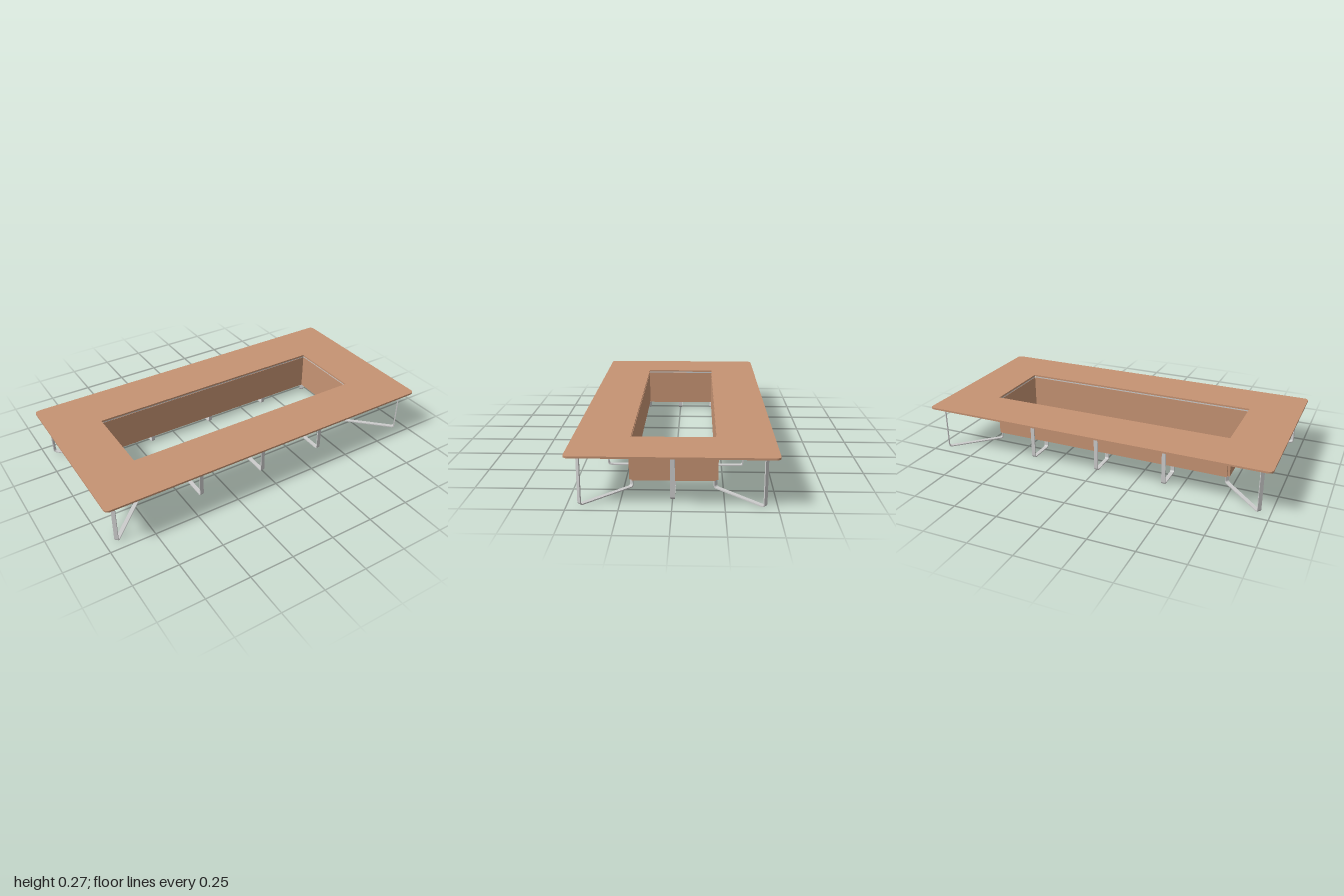
import * as THREE from 'three';

const TOP = 0.268, UNDER = 0.258;      // table top faces
const IX = 0.712, IZ = 0.212;          // half size of the opening
const wood = new THREE.MeshStandardMaterial({ color: 0xc69373 });
const steel = new THREE.MeshStandardMaterial({ color: 0xcccccc });

function add(parent, name, geometry, material) {
  const mesh = new THREE.Mesh(geometry, material);
  mesh.name = name;
  parent.add(mesh);
  return mesh;
}

// One mitred board of the top, with half of a rounded corner at each end
function boardGeometry(halfInner, inner, halfOuter, outer) {
  const r = 0.025, s = new THREE.Shape();
  s.moveTo(-halfInner, inner);
  s.lineTo(halfInner, inner);
  s.absarc(halfOuter - r, outer - r, r, Math.PI / 4, Math.PI / 2, false);
  s.absarc(-halfOuter + r, outer - r, r, Math.PI / 2, Math.PI * 3 / 4, false);
  s.closePath();
  const g = new THREE.ExtrudeGeometry(s, { depth: TOP - UNDER, bevelEnabled: false, curveSegments: 4 });
  return g.rotateX(Math.PI / 2).translate(0, TOP, 0);
}

// Bent flat-bar leg: short upright under the panel, foot, tall outer upright
function legGeometry(length) {
  const t = 0.006, R = 0.016, r = R - t, w = 0.022, short = 0.04;
  const s = new THREE.Shape();
  s.moveTo(0, short);
  s.lineTo(0, R);
  s.absarc(R, R, R, Math.PI, Math.PI * 1.5, false);
  s.absarc(length - R, R, R, Math.PI * 1.5, Math.PI * 2, false);
  s.lineTo(length, UNDER);
  s.lineTo(length - t, UNDER);
  s.absarc(length - R, R, r, 0, -Math.PI / 2, true);
  s.absarc(R, R, r, -Math.PI / 2, -Math.PI, true);
  s.lineTo(t, short);
  s.closePath();
  const g = new THREE.ExtrudeGeometry(s, { depth: w, bevelEnabled: false, curveSegments: 6 });
  return g.translate(0, 0, -w / 2);
}

export function createModel() {
  const model = new THREE.Group();
  model.name = 'conferenceTable';

  const longBoard = boardGeometry(IX, IZ, 1, 0.5);
  const endBoard = boardGeometry(IZ, IX, 0.5, 1);
  const th = 0.013, bottom = 0.04, panelTop = 0.25;
  const h = panelTop - bottom, gap = UNDER - panelTop;

  // Sides in turn: front, left, back, right
  for (let i = 0; i < 4; i++) {
    const isLong = i % 2 === 0;
    const half = isLong ? IX : IZ, dist = isLong ? IZ : IX;
    const side = new THREE.Group();
    side.name = ['frontSide', 'leftSide', 'backSide', 'rightSide'][i];
    side.rotation.y = i * Math.PI / 2;
    model.add(side);

    add(side, 'topBoard', isLong ? longBoard : endBoard, wood);
    add(side, 'modestyPanel', new THREE.BoxGeometry(half * 2, h, th), wood)
      .position.set(0, bottom + h / 2, dist + th / 2);
    add(side, 'panelRail', new THREE.BoxGeometry(half * 2, gap, th * 0.6), steel)
      .position.set(0, panelTop + gap / 2, dist + th / 2);

    // Legs square to this side
    for (const x of isLong ? [-0.4, 0, 0.4] : [0]) {
      const leg = add(side, 'sideLeg', legGeometry(0.155), steel);
      leg.position.set(x, 0, dist + 0.002);
      leg.rotation.y = -Math.PI / 2;
    }
  }

  // Diagonal legs below the mitres
  for (const sx of [-1, 1]) {
    for (const sz of [-1, 1]) {
      const leg = add(model, 'cornerLeg', legGeometry(0.33), steel);
      leg.position.set(sx * 0.709, 0, sz * 0.209);
      leg.rotation.y = Math.atan2(-sz, sx);
    }
  }
  return model;
}
